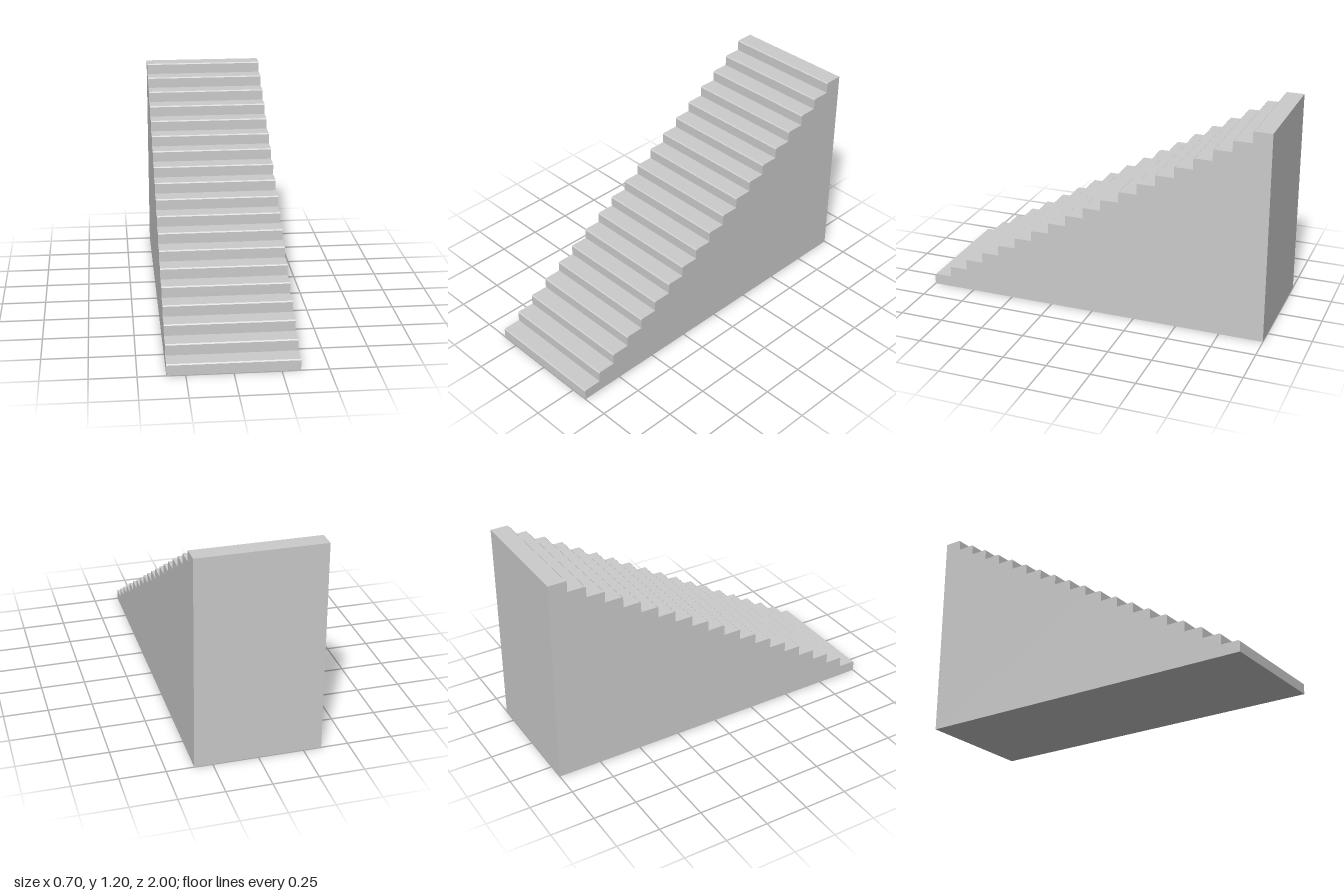
import * as THREE from 'three';

const STEPS = 19;
const WIDTH = 0.7, HEIGHT = 1.2, LENGTH = 2;
const CHAMFER = 0.006;

// Side outline of the flight, running from the front (-1) to the back (+1)
function stairProfile() {
  const rise = HEIGHT / STEPS, run = LENGTH / STEPS;
  const shape = new THREE.Shape();
  shape.moveTo(-LENGTH / 2, 0);
  shape.lineTo(LENGTH / 2, 0);
  shape.lineTo(LENGTH / 2, HEIGHT);
  for (let i = STEPS - 1; i >= 0; i--) {
    const front = -LENGTH / 2 + i * run;
    const top = (i + 1) * rise;
    // chamfered nosing, then the riser down to the tread below
    shape.lineTo(front + CHAMFER, top);
    shape.lineTo(front, top - CHAMFER);
    if (i > 0) shape.lineTo(front, top - rise);
  }
  shape.closePath();
  return shape;
}

export function createModel() {
  const group = new THREE.Group();
  group.name = 'staircase';

  // Solid flight of steps
  const geometry = new THREE.ExtrudeGeometry(stairProfile(), { depth: WIDTH, bevelEnabled: false });
  geometry.translate(0, 0, -WIDTH / 2);
  geometry.rotateY(Math.PI / 2);
  const stairs = new THREE.Mesh(
    geometry,
    new THREE.MeshStandardMaterial({ color: 0xcccccc, flatShading: true })
  );
  stairs.name = 'steps';
  group.add(stairs);
  return group;
}
